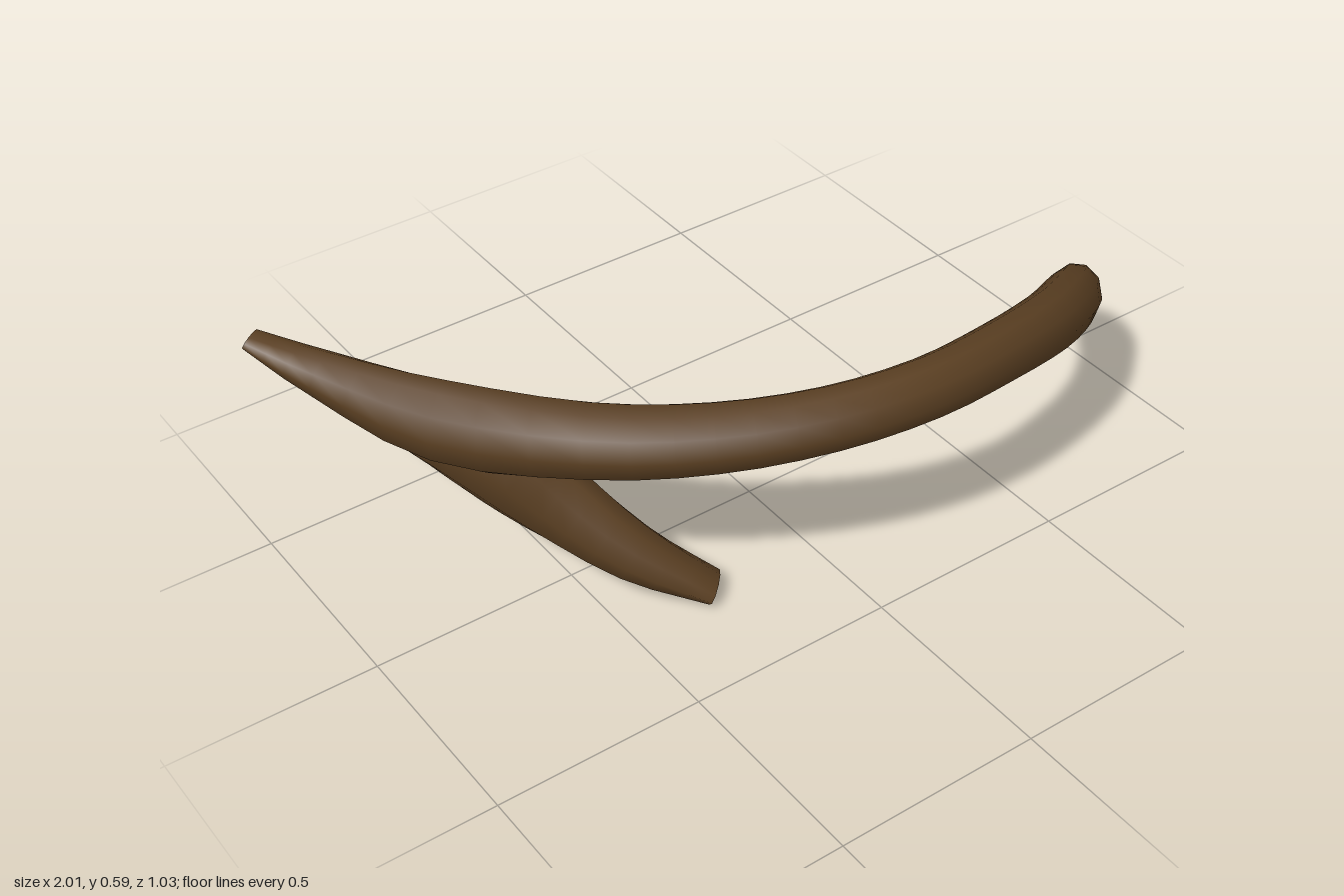
import * as THREE from 'three';

const SIDES = 10;
const UP = new THREE.Vector3(0, 1, 0);

// Lofts a closed limb through stations [x, y, z, half width, half height].
function limb(stations, steps) {
  const path = new THREE.CatmullRomCurve3(stations.map(s => new THREE.Vector3(s[0], s[1], s[2])));
  const size = new THREE.CatmullRomCurve3(stations.map(s => new THREE.Vector3(s[3], s[4], 0)));
  path.curveType = size.curveType = 'catmullrom';
  const pos = [], index = [], rings = [];

  for (let i = 0; i <= steps; i++) {
    const t = i / steps;
    const c = path.getPoint(t), r = size.getPoint(t), dir = path.getTangent(t);
    const side = new THREE.Vector3().crossVectors(dir, UP).normalize();
    const rise = new THREE.Vector3().crossVectors(side, dir);
    const ring = [];
    for (let j = 0; j < SIDES; j++) {
      const a = (j / SIDES) * Math.PI * 2;
      ring.push(c.clone()
        .addScaledVector(side, Math.cos(a) * r.x)
        .addScaledVector(rise, Math.sin(a) * r.y));
    }
    rings.push({ c, ring });
    ring.forEach(p => pos.push(p.x, p.y, p.z));
  }

  // Bark surface
  for (let i = 0; i < steps; i++) {
    for (let j = 0; j < SIDES; j++) {
      const k = (j + 1) % SIDES;
      const a = i * SIDES + j, b = i * SIDES + k;
      index.push(a, a + SIDES, b, b, a + SIDES, b + SIDES);
    }
  }

  // Flat cut ends with their own vertices, so the rims stay sharp
  [rings[0], rings[steps]].forEach(({ c, ring }, end) => {
    const base = pos.length / 3;
    [c, ...ring].forEach(p => pos.push(p.x, p.y, p.z));
    for (let j = 0; j < SIDES; j++) {
      const a = base + 1 + j, b = base + 1 + (j + 1) % SIDES;
      if (end) index.push(base, b, a);
      else index.push(base, a, b);
    }
  });

  const geometry = new THREE.BufferGeometry();
  geometry.setAttribute('position', new THREE.Float32BufferAttribute(pos, 3));
  geometry.setIndex(index);
  geometry.computeVertexNormals();
  return geometry;
}

export function createModel() {
  const bark = new THREE.MeshStandardMaterial({ color: 0x5a3f22 });
  bark.name = 'brown bark';
  const model = new THREE.Group();
  model.name = 'forkedBranch';

  const add = (name, stations, steps) => {
    const mesh = new THREE.Mesh(limb(stations, steps), bark);
    mesh.name = name;
    model.add(mesh);
  };

  // Long arched limb, from the narrow back tip round the front to the left end
  add('mainLimb', [
    [-0.975, 0.578, -0.495, 0.035, 0.014],
    [-0.88, 0.525, -0.36, 0.055, 0.052],
    [-0.72, 0.465, -0.13, 0.08, 0.1],
    [-0.51, 0.48, 0.13, 0.082, 0.088],
    [-0.3, 0.492, 0.29, 0.078, 0.08],
    [-0.08, 0.511, 0.4, 0.072, 0.074],
    [0.15, 0.515, 0.442, 0.068, 0.073],
    [0.38, 0.49, 0.41, 0.068, 0.075],
    [0.6, 0.435, 0.335, 0.07, 0.08],
    [0.78, 0.36, 0.225, 0.07, 0.08],
    [0.9, 0.275, 0.12, 0.06, 0.07],
    [0.97, 0.2, 0.037, 0.036, 0.052],
  ], 33);

  // Short lower limb that splits off and curls forward to the ground
  add('lowerLimb', [
    [-0.965, 0.572, -0.49, 0.03, 0.012],
    [-0.87, 0.507, -0.37, 0.055, 0.05],
    [-0.72, 0.42, -0.22, 0.075, 0.09],
    [-0.61, 0.33, -0.11, 0.078, 0.115],
    [-0.525, 0.23, -0.02, 0.072, 0.105],
    [-0.41, 0.113, 0.125, 0.065, 0.07],
    [-0.275, 0.024, 0.245, 0.055, 0.026],
  ], 18);

  return model;
}
